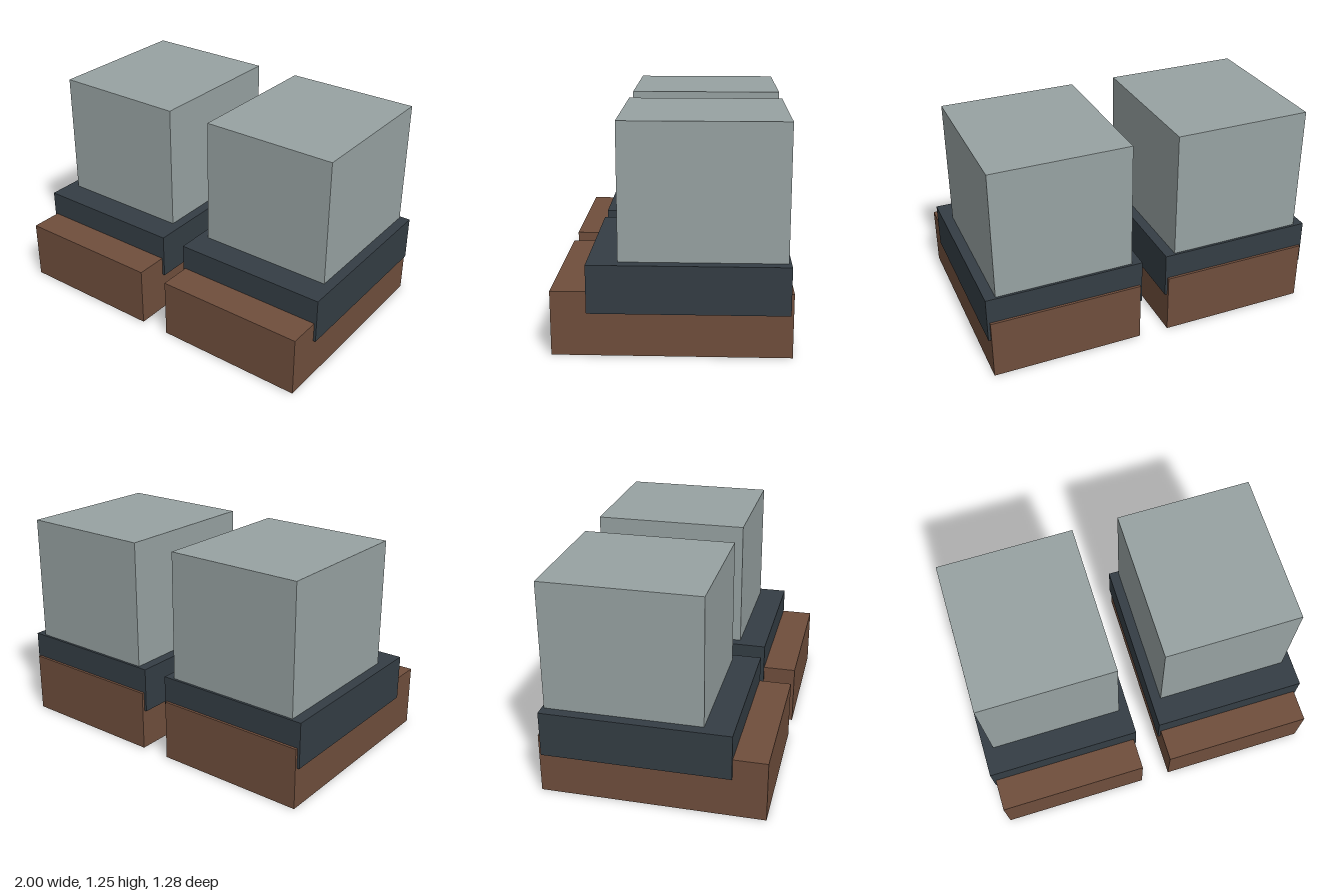
import * as THREE from 'three';

const brown = new THREE.MeshStandardMaterial({ color: 0x6f4e3c });
const dark = new THREE.MeshStandardMaterial({ color: 0x343d44 });
const grey = new THREE.MeshStandardMaterial({ color: 0x97a2a2 });

// Box given by width, y range and z range, centred on x
function block(name, material, width, y0, y1, z0, z1) {
  const mesh = new THREE.Mesh(new THREE.BoxGeometry(width, y1 - y0, z1 - z0), material);
  mesh.position.set(0, (y0 + y1) / 2, (z0 + z1) / 2);
  mesh.name = name;
  return mesh;
}

// One boot: foot, ankle cuff and leg shaft
function boot(name, x) {
  const group = new THREE.Group();
  group.name = name;
  group.position.x = x;
  group.add(
    block('foot', brown, 0.895, 0, 0.358, -0.641, 0.641),
    block('cuff', dark, 0.924, 0.241, 0.508, -0.626, 0.449),
    block('shaft', grey, 0.803, 0.358, 1.255, -0.612, 0.285)
  );
  return group;
}

export function createModel() {
  const model = new THREE.Group();
  model.name = 'boots';
  model.add(boot('leftBoot', 0.537), boot('rightBoot', -0.537));
  return model;
}
